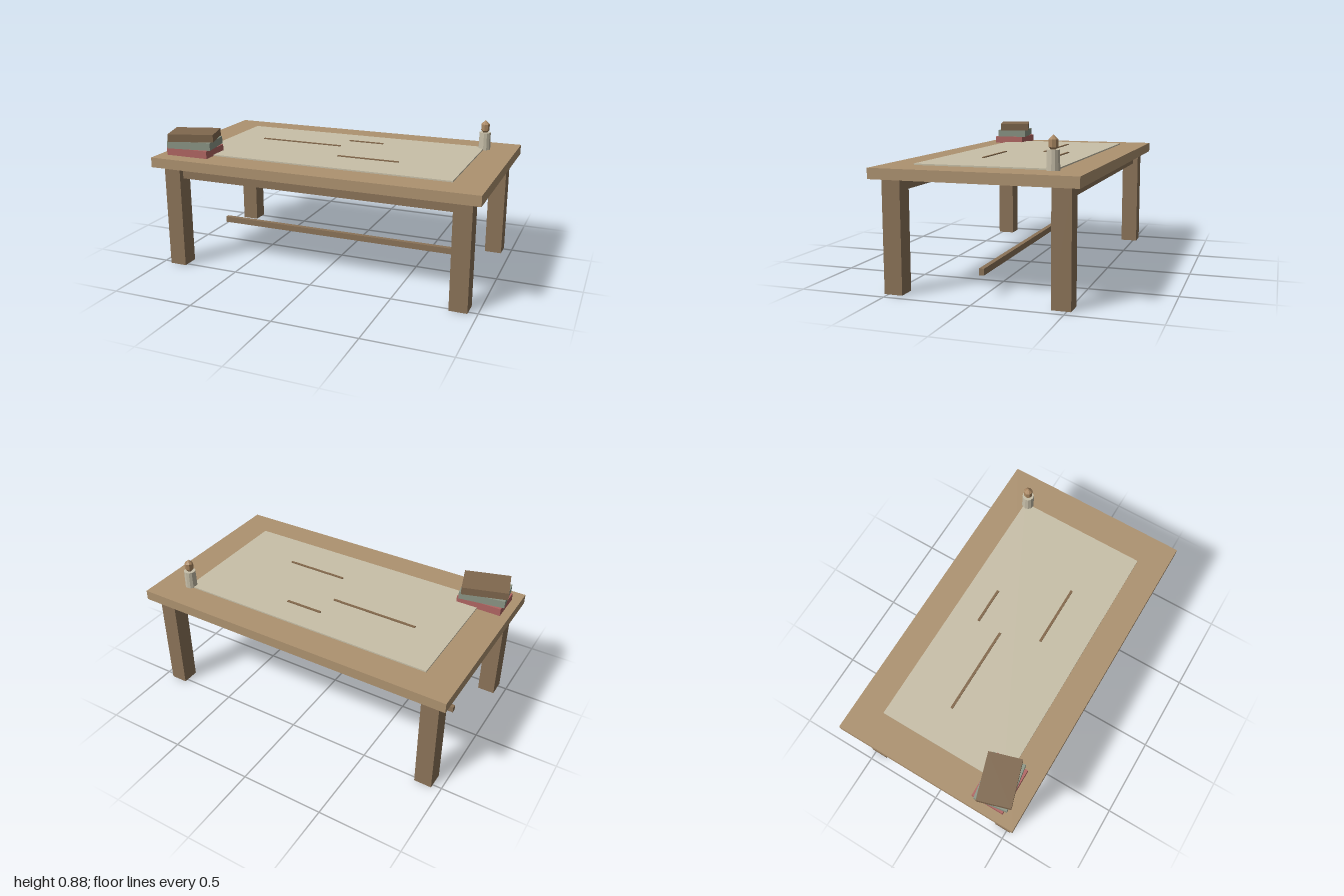
import * as THREE from 'three';

const mat = (name, color, flatShading = false) => {
  const m = new THREE.MeshStandardMaterial({ color });
  m.name = name;
  m.flatShading = flatShading;
  return m;
};

export function createModel() {
  const group = new THREE.Group();
  const topWood = mat('light wood', 0xad9270);
  const frameWood = mat('frame wood', 0x8b7358);
  const paper = mat('parchment', 0xc8c0a8);
  const ink = mat('dark line', 0x84694c);
  const red = mat('red cover', 0xb06562);
  const green = mat('green cover', 0x8c9686);
  const brown = mat('brown cover', 0x80684e);
  const wax = mat('candle wax', 0xc6bea8, true);
  const flameMat = mat('flame', 0xa98762, true);

  const add = (name, geometry, material, x, y, z) => {
    const mesh = new THREE.Mesh(geometry, material);
    mesh.name = name;
    mesh.position.set(x, y, z);
    group.add(mesh);
    return mesh;
  };
  // Box whose position is given by the centre of its underside
  const box = (name, material, w, h, d, x, y, z) =>
    add(name, new THREE.BoxGeometry(w, h, d), material, x, y + h / 2, z);

  // Table
  const top = 0.693;
  box('tabletop', topWood, 2, 0.06, 1.154, 0, 0.633, 0);
  for (const sz of [1, -1]) {
    for (const sx of [1, -1]) box('leg', frameWood, 0.105, 0.633, 0.106, sx * 0.893, 0, sz * 0.47);
    box('apron', frameWood, 1.68, 0.076, 0.038, 0, 0.557, sz * 0.47);
  }
  box('stretcher', frameWood, 1.68, 0.037, 0.029, 0, 0.12, 0);

  // Sheet with three raised lines
  box('sheet', paper, 1.608, 0.008, 0.804, 0, top, 0);
  for (const [x0, x1, z] of [[-0.58, -0.04, -0.08], [-0.04, 0.19, -0.233], [0.035, 0.418, 0.152]])
    box('sheetLine', ink, x1 - x0, 0.005, 0.015, (x0 + x1) / 2, top + 0.008, z);

  // Stack of books, each turned a little further
  [red, green, brown].forEach((cover, i) => {
    const book = box('book', cover, 0.275, 0.046, 0.197, -0.81, top + i * 0.046, 0.385);
    book.rotation.y = i * 0.15;
  });

  // Candle and faceted flame
  add('candle', new THREE.CylinderGeometry(0.035, 0.037, 0.107, 12), wax, 0.805, top + 0.0535, -0.385);
  const profile = [[0, 0], [0.014, 0], [0.026, 0.013], [0.026, 0.052], [0, 0.077]]
    .map(([r, y]) => new THREE.Vector2(r, y));
  add('flame', new THREE.LatheGeometry(profile, 8), flameMat, 0.805, 0.8, -0.385);

  return group;
}
